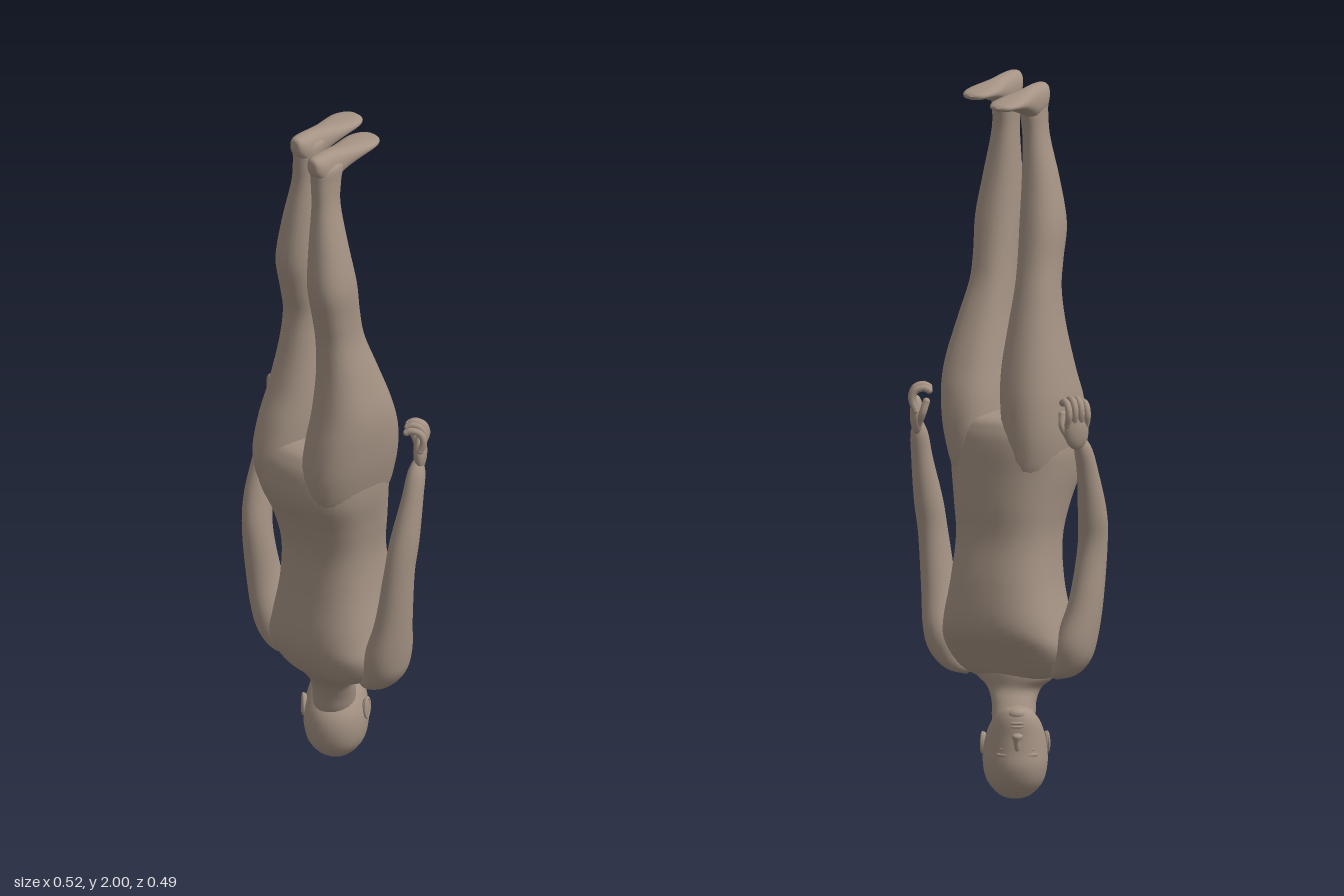
import * as THREE from 'three';

const skin = new THREE.MeshStandardMaterial({ color: 0xa59384 });

// Smooth closed loft along y; keys are [y, centreX, centreZ, radiusX, radiusZ], n squares off the section
function loft(keys, n = 2, sides = 28, per = 5) {
  const mid = new THREE.CatmullRomCurve3(keys.map(k => new THREE.Vector3(k[1], k[0], k[2])), false, 'catmullrom', 0.5);
  const rad = new THREE.CatmullRomCurve3(keys.map(k => new THREE.Vector3(k[3], 0, k[4])), false, 'catmullrom', 0.5);
  const rows = (keys.length - 1) * per, pos = [], index = [];
  const bend = v => Math.sign(v) * Math.abs(v) ** (2 / n);
  for (let j = 0; j <= rows; j++) {
    const c = mid.getPoint(j / rows), r = rad.getPoint(j / rows);
    for (let i = 0; i < sides; i++) {
      const a = (i / sides) * Math.PI * 2;
      pos.push(c.x + Math.max(r.x, 0) * bend(Math.cos(a)), c.y, c.z + Math.max(r.z, 0) * bend(Math.sin(a)));
      if (j < rows) {
        const p = j * sides + i, q = j * sides + (i + 1) % sides;
        index.push(p, p + sides, q, q, p + sides, q + sides);
      }
    }
  }
  const g = new THREE.BufferGeometry();
  g.setAttribute('position', new THREE.Float32BufferAttribute(pos, 3));
  g.setIndex(index);
  g.computeVertexNormals();
  return g;
}

function add(parent, name, geometry, position = [0, 0, 0]) {
  const m = new THREE.Mesh(geometry, skin);
  m.name = name;
  m.position.set(...position);
  parent.add(m);
  return m;
}

const blob = (parent, name, position, size) =>
  add(parent, name, new THREE.SphereGeometry(1, 24, 16).scale(...size), position);

// Relaxed hand: fingers sit side by side along d and curl along c
function hand(parent, name, side, x, y, z) {
  const g = new THREE.Group();
  g.name = name;
  g.position.set(x, y, z);
  const at = (c, up, d) => new THREE.Vector3(-side * (0.82 * c + 0.57 * d), up, 0.82 * d - 0.57 * c);
  const palm = blob(g, 'palm', [0, 0, 0], [0.036, 0.055, 0.019]);
  palm.rotation.y = side * 0.96;
  const digit = (label, pts, r) => {
    add(g, label, new THREE.TubeGeometry(new THREE.CatmullRomCurve3(pts), 14, r, 10));
    for (const p of [pts[0], pts[pts.length - 1]]) blob(g, label + 'Tip', p.toArray(), [r, r, r]);
  };
  for (let i = 0; i < 4; i++) {
    const d = (i - 1.5) * 0.0185, l = [0.88, 0.98, 1, 0.93][i];
    digit('finger', [at(-0.004, 0.015, d), at(-0.014, 0.05 * l, d), at(-0.004, 0.077 * l, d), at(0.02, 0.085 * l, d), at(0.034, 0.078 * l, d)], 0.0098);
  }
  digit('thumb', [at(0.005, -0.02, 0.022), at(0.016, 0.012, 0.036), at(0.026, 0.042, 0.032)], 0.0105);
  parent.add(g);
}

// Foot with the sole upwards: rows are [distance from heel, half width, half height, sole drop]
function foot(parent, name, x, sole, heelZ) {
  const rows = [[0, 0, 0, 0.025], [0.006, 0.02, 0.024, 0.004], [0.035, 0.033, 0.042, 0], [0.08, 0.033, 0.045, 0.002],
    [0.13, 0.037, 0.033, 0.008], [0.19, 0.046, 0.021, 0.014], [0.235, 0.046, 0.014, 0.02], [0.27, 0.03, 0.01, 0.026], [0.283, 0, 0, 0.036]];
  const g = loft(rows.map(([t, w, hh, drop]) => [t, t * 0.1, -(sole - drop - hh), w, hh]), 2.3);
  add(parent, name, g.rotateX(Math.PI / 2), [x, 0, heelZ]);
}

function head(parent) {
  const g = new THREE.Group();
  g.name = 'head';
  g.position.set(0.08, 0, 0.083);
  g.rotation.y = 0.63;
  add(g, 'skull', loft([[0, 0, 0, 0, 0], [0.012, 0, -0.002, 0.042, 0.052], [0.05, 0, -0.002, 0.077, 0.094], [0.1, 0, 0, 0.09, 0.111],
    [0.15, 0, 0.001, 0.088, 0.107], [0.19, 0, 0.013, 0.08, 0.093], [0.225, 0, 0.03, 0.067, 0.076],
    [0.25, 0, 0.045, 0.05, 0.056], [0.265, 0, 0.056, 0.03, 0.034], [0.273, 0, 0.058, 0, 0]], 2.1));
  // Nose, lips, chin
  add(g, 'nose', loft([[0.14, 0, 0.096, 0, 0], [0.155, 0, 0.098, 0.009, 0.012], [0.18, 0, 0.1, 0.011, 0.016], [0.196, 0, 0.1, 0.016, 0.019], [0.206, 0, 0.097, 0, 0]]));
  for (const y of [0.22, 0.23]) blob(g, 'lip', [0, y, 0.1], [0.022, 0.0055, 0.008]);
  blob(g, 'chin', [0, 0.253, 0.083], [0.026, 0.016, 0.02]);
  // Brows, eyes and ears
  for (const s of [-1, 1]) {
    const brow = blob(g, 'brow', [s * 0.036, 0.139, 0.092], [0.025, 0.008, 0.009]);
    brow.rotation.y = s * 0.4;
    blob(g, 'eye', [s * 0.035, 0.155, 0.088], [0.015, 0.008, 0.01]);
    const ear = new THREE.Group();
    ear.name = 'ear';
    ear.position.set(s * 0.086, 0.155, -0.022);
    ear.rotation.set(0.15, s * 0.25, 0);
    blob(ear, 'earInner', [0, 0, 0], [0.009, 0.032, 0.019]);
    add(ear, 'earRim', new THREE.TorusGeometry(0.018, 0.004, 10, 24).rotateY(Math.PI / 2).scale(1, 1.5, 0.95), [s * 0.004, 0, 0]);
    g.add(ear);
  }
  parent.add(g);
}

export function createModel() {
  const model = new THREE.Group();
  const body = new THREE.Group();
  body.name = 'invertedFigure';
  body.rotation.y = Math.PI * 0.75;
  model.add(body);

  head(body);
  add(body, 'neck', loft([[0.12, 0.062, 0.058, 0, 0], [0.16, 0.06, 0.054, 0.05, 0.056], [0.22, 0.049, 0.043, 0.06, 0.062],
    [0.265, 0.036, 0.022, 0.064, 0.06], [0.3, 0.02, -0.003, 0.083, 0.064], [0.34, 0.008, -0.02, 0.13, 0.078], [0.4, 0, -0.02, 0.1, 0.07]]));
  // Torso and hips in one piece
  add(body, 'torso', loft([[0.298, 0.01, -0.022, 0, 0], [0.312, 0.008, -0.022, 0.08, 0.05], [0.345, 0, -0.025, 0.155, 0.085],
    [0.41, 0, -0.018, 0.193, 0.122], [0.48, 0, -0.002, 0.18, 0.145], [0.6, 0, 0, 0.155, 0.135], [0.72, 0, -0.01, 0.147, 0.124],
    [0.82, 0, -0.025, 0.16, 0.138], [0.91, 0, -0.048, 0.178, 0.157], [0.98, 0, -0.052, 0.184, 0.159],
    [1.03, -0.004, -0.05, 0.172, 0.148], [1.065, -0.01, -0.046, 0.12, 0.115], [1.085, -0.015, -0.045, 0, 0]], 2.5, 40));

  // Arms
  add(body, 'leftArm', loft([[0.325, 0.145, -0.028, 0, 0], [0.342, 0.163, -0.03, 0.04, 0.042], [0.385, 0.186, -0.033, 0.057, 0.061], [0.445, 0.203, -0.037, 0.057, 0.069],
    [0.55, 0.224, -0.055, 0.046, 0.055], [0.7, 0.234, -0.073, 0.04, 0.046], [0.8, 0.245, -0.056, 0.039, 0.044],
    [0.92, 0.253, -0.02, 0.029, 0.033], [1.0, 0.255, 0.01, 0.022, 0.026], [1.05, 0.255, 0.035, 0, 0]]));
  add(body, 'rightArm', loft([[0.315, -0.145, -0.012, 0, 0], [0.333, -0.163, -0.01, 0.042, 0.045], [0.38, -0.19, -0.007, 0.06, 0.066], [0.445, -0.208, -0.006, 0.059, 0.074],
    [0.55, -0.231, -0.008, 0.047, 0.058], [0.7, -0.248, -0.004, 0.04, 0.047], [0.8, -0.254, 0.012, 0.039, 0.044],
    [0.92, -0.258, 0.038, 0.029, 0.033], [1.0, -0.255, 0.058, 0.022, 0.026], [1.05, -0.25, 0.07, 0, 0]]));
  hand(body, 'leftHand', 1, 0.256, 1.05, 0.042);
  hand(body, 'rightHand', -1, -0.25, 1.05, 0.078);

  // Legs
  add(body, 'leftLeg', loft([[0.82, 0.08, -0.03, 0, 0], [0.89, 0.085, -0.045, 0.07, 0.12], [0.99, 0.093, -0.052, 0.092, 0.152], [1.1, 0.088, -0.042, 0.097, 0.143],
    [1.2, 0.082, -0.031, 0.09, 0.118], [1.32, 0.08, -0.028, 0.072, 0.089], [1.42, 0.08, -0.033, 0.06, 0.07],
    [1.5, 0.077, -0.05, 0.058, 0.069], [1.6, 0.074, -0.068, 0.06, 0.071], [1.72, 0.063, -0.073, 0.049, 0.056],
    [1.84, 0.05, -0.07, 0.035, 0.042], [1.91, 0.045, -0.066, 0.034, 0.046], [1.96, 0.045, -0.062, 0.032, 0.05], [1.975, 0.045, -0.062, 0, 0]], 2.25));
  add(body, 'rightLeg', loft([[0.82, -0.08, -0.03, 0, 0], [0.89, -0.085, -0.045, 0.07, 0.12], [0.99, -0.098, -0.052, 0.093, 0.152], [1.1, -0.113, -0.054, 0.098, 0.146],
    [1.2, -0.122, -0.062, 0.092, 0.12], [1.32, -0.119, -0.08, 0.073, 0.089], [1.42, -0.112, -0.1, 0.06, 0.07],
    [1.5, -0.113, -0.117, 0.058, 0.069], [1.6, -0.116, -0.136, 0.06, 0.071], [1.72, -0.108, -0.142, 0.049, 0.056],
    [1.84, -0.097, -0.14, 0.035, 0.042], [1.91, -0.093, -0.136, 0.034, 0.046], [1.96, -0.093, -0.132, 0.032, 0.05], [1.975, -0.093, -0.132, 0, 0]], 2.35));
  foot(body, 'leftFoot', 0.042, 1.99, -0.124);
  foot(body, 'rightFoot', -0.094, 2.0, -0.196);

  return model;
}
